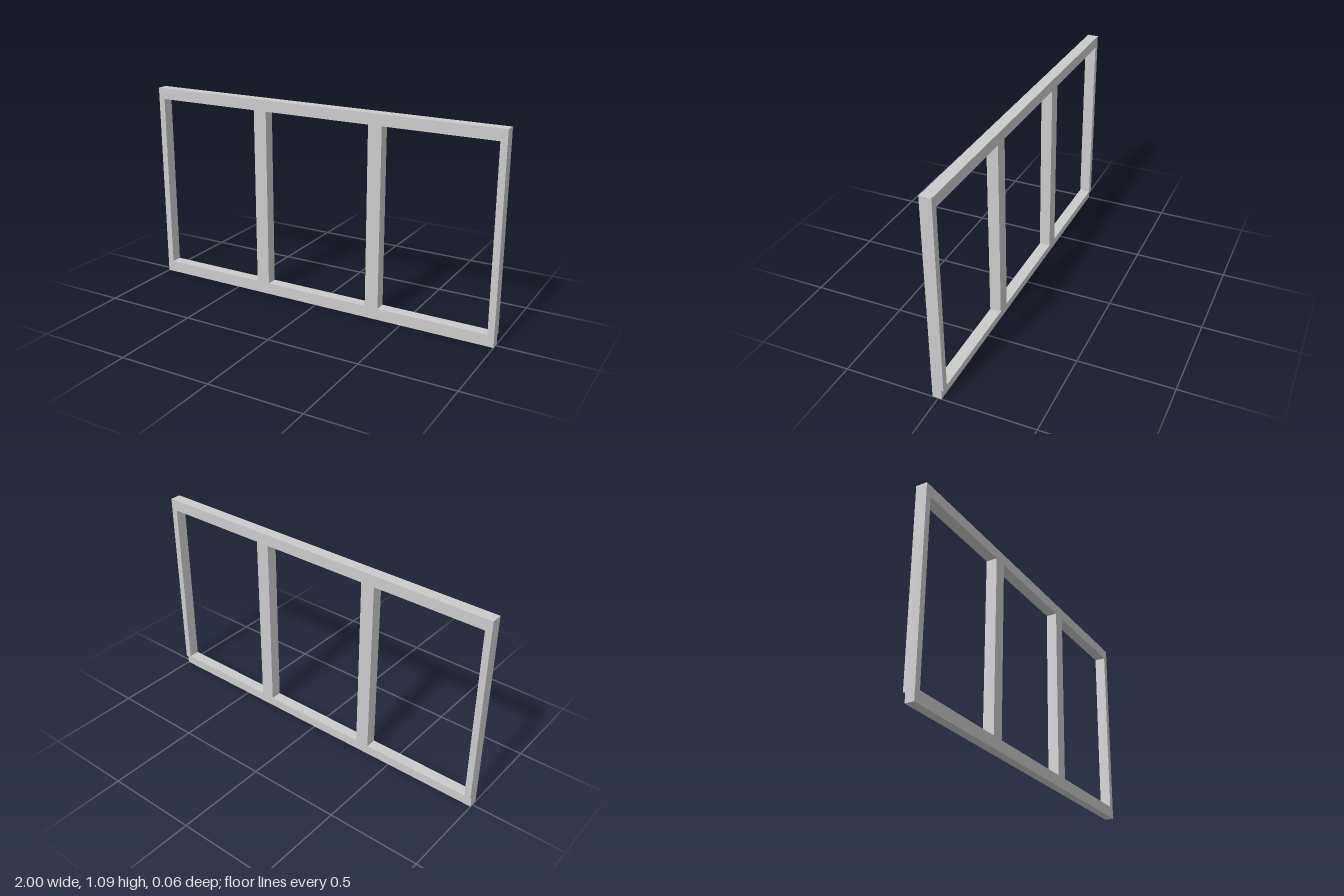
import * as THREE from 'three';

export function createModel() {
  const group = new THREE.Group();
  const material = new THREE.MeshStandardMaterial({ color: 0xcccccc, flatShading: true });

  const height = 1.09, front = 0.03, back = -0.03;
  const sillTop = 0.052, sillBack = -0.018;
  const paneBottom = 0.063, paneTop = 1.03;

  const rectangle = (Type, x0, x1, y0, y1) => new Type([
    new THREE.Vector2(x0, y0), new THREE.Vector2(x1, y0),
    new THREE.Vector2(x1, y1), new THREE.Vector2(x0, y1),
  ]);

  // Outer frame and mullions: one slab with three openings
  const outline = rectangle(THREE.Shape, -1, 1, sillTop, height);
  for (const [x0, x1] of [[-0.965, -0.371], [-0.297, 0.297], [0.371, 0.965]]) {
    outline.holes.push(rectangle(THREE.Path, x0, x1, paneBottom, paneTop));
  }
  const frameGeometry = new THREE.ExtrudeGeometry(outline, { depth: front - back, bevelEnabled: false });
  frameGeometry.translate(0, 0, back);
  const frame = new THREE.Mesh(frameGeometry, material);
  frame.name = 'windowFrame';
  group.add(frame);

  // Bottom rail, flush at the front and rebated at the back
  const sill = new THREE.Mesh(new THREE.BoxGeometry(2, sillTop, front - sillBack), material);
  sill.name = 'bottomRail';
  sill.position.set(0, sillTop / 2, (front + sillBack) / 2);
  group.add(sill);

  return group;
}
